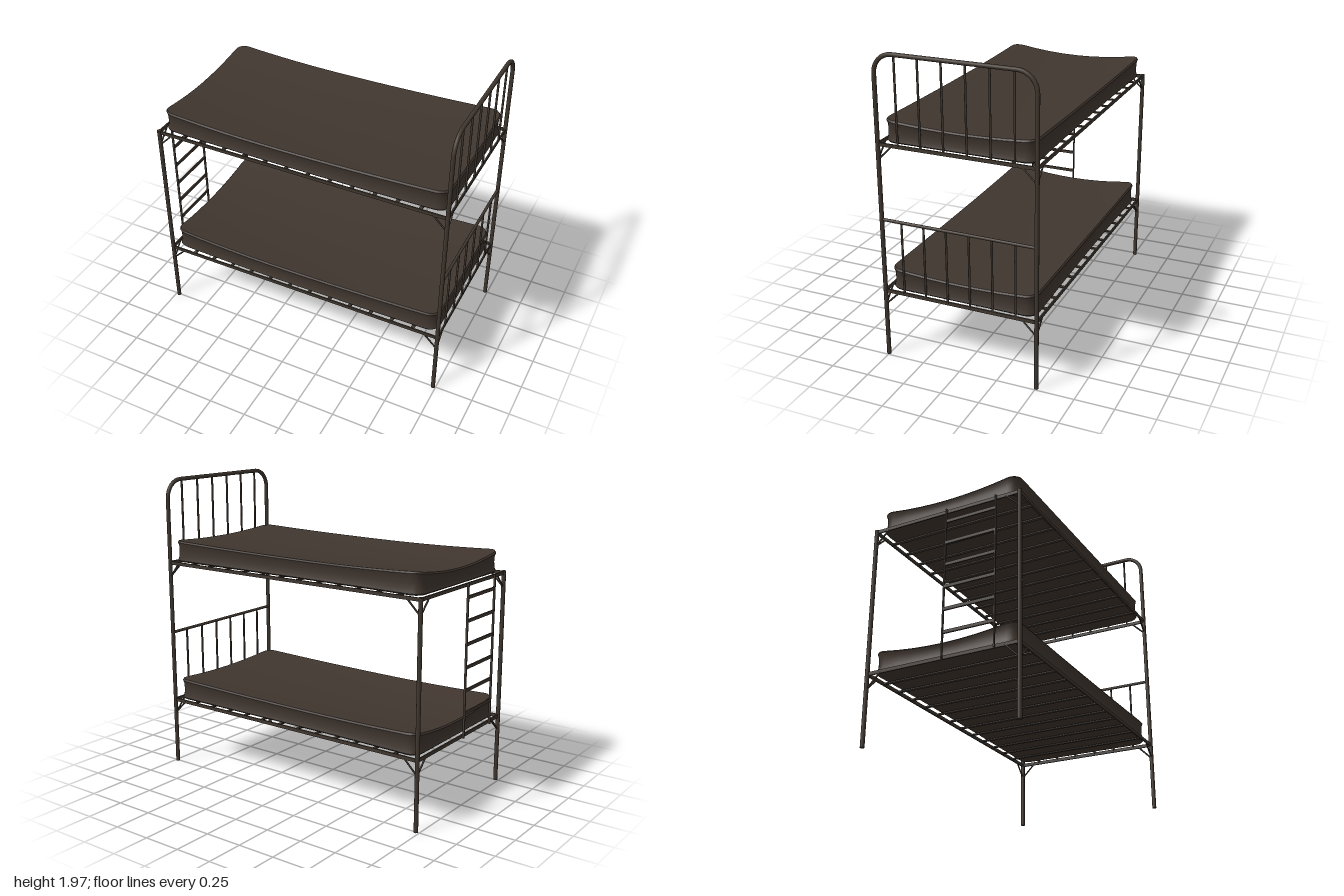
import * as THREE from 'three';
import { toCreasedNormals } from 'three/addons/utils/BufferGeometryUtils.js';

const FOOT = -0.978, HEAD = 0.983, SIDE = 0.503, TUBE = 0.0135;

export function createModel() {
  const model = new THREE.Group();
  model.name = 'bunkBed';
  const metal = new THREE.MeshStandardMaterial({ color: 0x40372f });
  metal.name = 'dark brown metal';
  const fabric = new THREE.MeshStandardMaterial({ color: 0x40362f });
  fabric.name = 'dark brown fabric';

  function add(parent, name, geometry, material = metal) {
    const mesh = new THREE.Mesh(geometry, material);
    mesh.name = name;
    parent.add(mesh);
    return mesh;
  }
  function box(parent, name, w, h, d, x, y, z) {
    add(parent, name, new THREE.BoxGeometry(w, h, d)).position.set(x, y, z);
  }
  // Round bar between two points
  function rod(parent, name, a, b, radius, sides = 8) {
    const from = new THREE.Vector3(...a), to = new THREE.Vector3(...b);
    const dir = to.clone().sub(from);
    const mesh = add(parent, name, new THREE.CylinderGeometry(radius, radius, dir.length(), sides));
    mesh.position.copy(from).add(to).multiplyScalar(0.5);
    mesh.quaternion.setFromUnitVectors(new THREE.Vector3(0, 1, 0), dir.normalize());
  }
  function group(name) {
    const g = new THREE.Group();
    g.name = name;
    model.add(g);
    return g;
  }

  // Foot posts
  const foot = group('footEnd');
  for (const s of [-1, 1]) rod(foot, 'footPost', [FOOT, 0, s * SIDE], [FOOT, 1.42, s * SIDE], TUBE, 12);

  // Head hoop: two posts, two bends and a top bar
  const head = group('headEnd');
  const bend = 0.12, top = 1.955;
  for (const s of [-1, 1]) {
    rod(head, 'headPost', [HEAD, 0, s * SIDE], [HEAD, top - bend, s * SIDE], TUBE, 12);
    const arc = add(head, 'hoopBend', new THREE.TorusGeometry(bend, TUBE, 12, 8, Math.PI / 2));
    arc.rotation.y = -s * Math.PI / 2;
    arc.position.set(HEAD, top - bend, s * (SIDE - bend));
  }
  rod(head, 'hoopTop', [HEAD, top, bend - SIDE], [HEAD, top, SIDE - bend], TUBE, 12);
  rod(head, 'lowerHeadRail', [HEAD, 0.927, -SIDE], [HEAD, 0.927, SIDE], 0.01);
  for (let i = 0; i < 6; i++) {
    const z = -0.37 + i * 0.148;
    rod(head, 'headBar', [HEAD, 0.45, z], [HEAD, 0.927, z], 0.007);
    rod(head, 'headBar', [HEAD, 1.41, z], [HEAD, top, z], 0.007);
  }

  // Two bunks: rails, slats, corner braces and mattress
  const mattress = mattressGeometry();
  for (const [name, y] of [['lowerBunk', 0.449], ['upperBunk', 1.407]]) {
    const bunk = group(name);
    const length = HEAD - FOOT, mid = (HEAD + FOOT) / 2;
    for (const s of [-1, 1]) box(bunk, 'sideRail', length, 0.022, 0.009, mid, y, s * SIDE);
    for (const x of [FOOT, HEAD]) box(bunk, 'endRail', 0.009, 0.022, 2 * SIDE, x, y, 0);
    for (let i = 0; i < 12; i++) box(bunk, 'slat', 0.022, 0.008, 2 * SIDE, -0.807 + i * 0.147, y, 0);
    for (const [x, dx] of [[FOOT, 1], [HEAD, -1]]) {
      for (const s of [-1, 1]) {
        const low = [x, y - 0.095, s * SIDE];
        rod(bunk, 'sideBrace', low, [x + dx * 0.095, y, s * SIDE], 0.0055, 6);
        rod(bunk, 'endBrace', low, [x, y, s * (SIDE - 0.095)], 0.0055, 6);
      }
    }
    add(bunk, 'mattress', mattress, fabric).position.set(0.003, y + 0.01, 0);
  }

  // Ladder on the foot end
  const ladder = group('ladder');
  for (const z of [0.014, 0.351]) box(ladder, 'ladderRail', 0.014, 0.98, 0.007, -0.993, 0.929, z);
  for (let i = 0; i < 6; i++) box(ladder, 'rung', 0.01, 0.02, 0.337, -0.993, 0.6 + i * 0.1465, 0.1825);
  return model;
}

// Sagging mattress made of rounded-rectangle rings
function mattressGeometry() {
  const HX = 0.963, HZ = 0.483, R = 0.075, H = 0.142;
  const outline = [];
  const corners = [[1, 1], [-1, 1], [-1, -1], [1, -1]];
  const arcPoint = (q, k) => {
    const a = (q + k / 5) * Math.PI / 2, [sx, sz] = corners[q];
    const n = [Math.cos(a), Math.sin(a)];
    return [sx * (HX - R) + R * n[0], sz * (HZ - R) + R * n[1], n[0], n[1]];
  };
  for (let q = 0; q < 4; q++) {
    for (let k = 0; k <= 5; k++) outline.push(arcPoint(q, k));
    const a = arcPoint(q, 5), b = arcPoint((q + 1) % 4, 0);
    const steps = q % 2 ? 8 : 14;
    for (let k = 1; k < steps; k++) outline.push(a.map((v, i) => v + (b[i] - v) * k / steps));
  }

  // Each ring: scale, inset, height
  const rings = [[0.001, 0, 0], [1, 0.008, 0], [1, 0, 0.01], [1, 0.008, 0.035], [1, 0.01, 0.07],
    [1, 0.008, 0.108], [1, 0, 0.13], [1, 0.008, H], [0.86, 0, H], [0.7, 0, H], [0.5, 0, H], [0.25, 0, H], [0.001, 0, H]];
  const positions = [], index = [], n = outline.length;
  rings.forEach(([scale, inset, h], r) => {
    outline.forEach(([px, pz, nx, nz], i) => {
      const x = (px - nx * inset) * scale, z = (pz - nz * inset) * scale;
      const t = x < -0.2 ? (x + 0.2) / 0.76 : (x + 0.2) / 1.16;
      const along = 0.022 * (1 - t * t);
      const across = (0.033 - 0.011 * x) * (1 - Math.min(1, (z / 0.47) ** 2));
      const bow = 0.014 * (1 - t * t) - 0.005;
      positions.push(x, h - (along + across) * h / H, z + bow);
      if (r === 0) return;
      const j = (i + 1) % n, a = (r - 1) * n, b = r * n;
      index.push(a + i, b + i, a + j, a + j, b + i, b + j);
    });
  });
  const geometry = new THREE.BufferGeometry();
  geometry.setAttribute('position', new THREE.Float32BufferAttribute(positions, 3));
  geometry.setIndex(index);
  return toCreasedNormals(geometry, 0.6);
}
